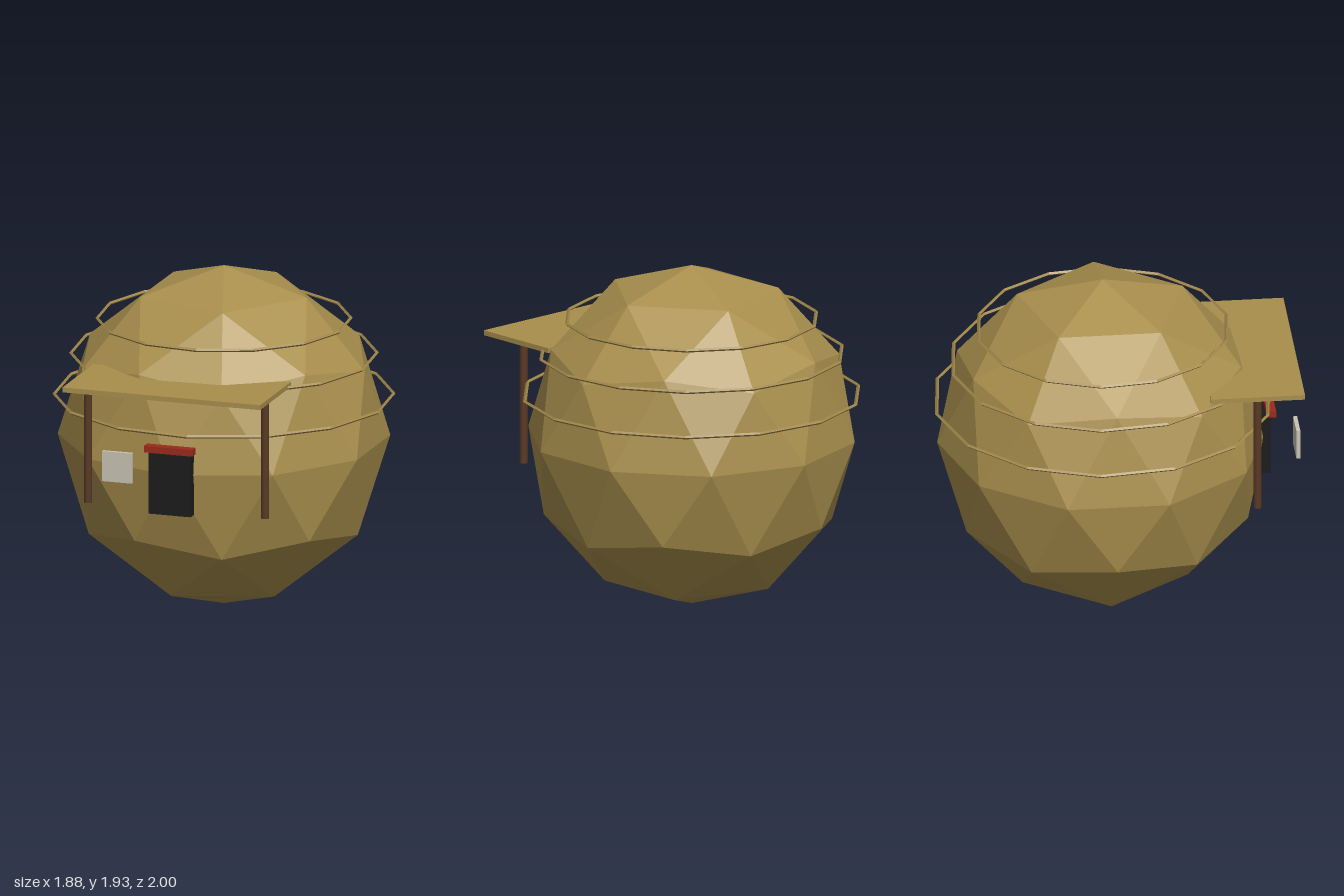
import * as THREE from 'three';

const mat = (name, color, flatShading = true) => {
  const m = new THREE.MeshStandardMaterial({ color, flatShading });
  m.name = name;
  return m;
};

export function createModel() {
  const straw = mat('straw', 0xa98f4d);
  const rope = mat('rope', 0xa0874a);
  const wood = mat('wood', 0x5a3a25, false);
  const dark = mat('doorway black', 0x1c1c1c);
  const red = mat('lintel red', 0x9a2a1a);
  const grey = mat('plaque grey', 0xc8c2b2);

  const model = new THREE.Group();
  model.name = 'hut';
  const add = (name, geometry, material, x, y, z) => {
    const mesh = new THREE.Mesh(geometry, material);
    mesh.name = name;
    mesh.position.set(x, y, z);
    model.add(mesh);
    return mesh;
  };
  // Box given by its lower and upper corners
  const addBox = (name, material, [x0, y0, z0], [x1, y1, z1]) =>
    add(name, new THREE.BoxGeometry(x1 - x0, y1 - y0, z1 - z0), material,
      (x0 + x1) / 2, (y0 + y1) / 2, (z0 + z1) / 2);

  const centreZ = -0.06;

  // Faceted body, turned so that a corner points straight up
  const body = new THREE.IcosahedronGeometry(1, 1);
  body.rotateZ(-Math.atan(2 / (1 + Math.sqrt(5))));
  body.scale(0.915, 0.963, 0.915);
  body.computeVertexNormals();
  add('body', body, straw, 0, 0.966, centreZ);

  // Fourteen-sided rope hoops
  const sides = 14;
  for (const [name, radius, y] of [
    ['lowerHoop', 0.934, 1.197], ['middleHoop', 0.842, 1.43], ['upperHoop', 0.698, 1.628],
  ]) {
    const hoop = new THREE.TorusGeometry(radius, 0.01, 4, sides);
    hoop.rotateX(-Math.PI / 2);
    hoop.rotateY(-Math.PI / 2 / sides);
    add(name, hoop, rope, 0, y, centreZ);
  }

  // Porch canopy on two posts
  addBox('canopy', straw, [-0.575, 1.425, 0.48], [0.575, 1.453, 1]);
  for (const side of [-1, 1]) {
    add(side > 0 ? 'leftPost' : 'rightPost',
      new THREE.CylinderGeometry(0.023, 0.023, 0.69, 8), wood, side * 0.515, 1.083, 0.743);
  }

  // Doorway, its lintel and the hanging plaque
  addBox('doorway', dark, [-0.122, 0.738, 0.8], [0.122, 1.082, 0.86]);
  addBox('lintel', red, [-0.141, 1.092, 0.832], [0.141, 1.129, 0.886]);
  addBox('plaque', grey, [-0.346, 0.939, 0.976], [-0.172, 1.11, 0.998]);

  return model;
}
